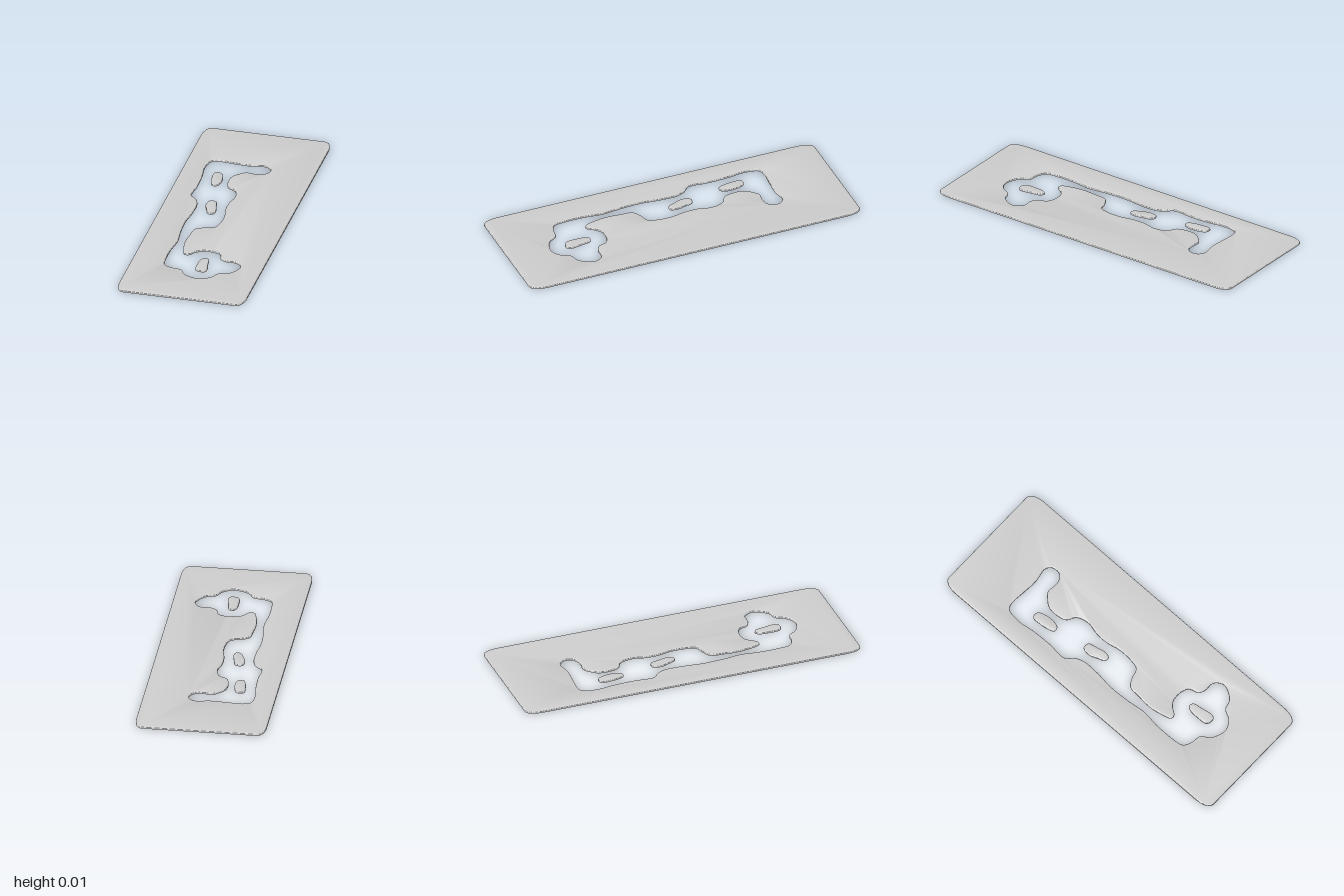
import * as THREE from 'three';
import { toCreasedNormals } from 'three/addons/utils/BufferGeometryUtils.js';

const HEIGHT = 0.012, BEVEL = 0.006, ROUND = 0.008;

// Smooth closed outline through (x, z) pairs; shape y is -z
function outline(pairs, samples) {
  const pts = [];
  for (let i = 0; i < pairs.length; i += 2) pts.push(new THREE.Vector3(pairs[i], -pairs[i + 1], 0));
  const curve = new THREE.CatmullRomCurve3(pts, true, 'centripetal');
  return curve.getSpacedPoints(samples).slice(0, -1).map(p => new THREE.Vector2(p.x, p.y));
}

// Thin slab with a rounded top rim and a flat underside
function slab(shape, name) {
  const geo = new THREE.ExtrudeGeometry(shape, {
    depth: HEIGHT - BEVEL, bevelEnabled: true, bevelThickness: BEVEL, bevelSize: ROUND,
    bevelOffset: -ROUND, bevelSegments: 4, curveSegments: 12,
  });
  geo.rotateX(-Math.PI / 2);
  const pos = geo.attributes.position;
  for (let i = 0; i < pos.count; i++) pos.setY(i, Math.max(0, pos.getY(i)));
  const mesh = new THREE.Mesh(toCreasedNormals(geo, 0.7),
    new THREE.MeshStandardMaterial({ color: 0xcccccc, side: THREE.DoubleSide }));
  mesh.name = name;
  return mesh;
}

// Plate rim with softly rounded corners
function plateShape() {
  const x = 0.368, z = 1, rx = 0.05, rz = 0.09;
  const s = new THREE.Shape();
  s.moveTo(-x + rx, -z);
  s.lineTo(x - rx, -z);
  s.quadraticCurveTo(x - 0.005, -z, x, -z + rz);
  s.lineTo(x, z - rz);
  s.quadraticCurveTo(x - 0.005, z, x - rx, z);
  s.lineTo(-x + rx, z);
  s.quadraticCurveTo(-x + 0.005, z, -x, z - rz);
  s.lineTo(-x, -z + rz);
  s.quadraticCurveTo(-x + 0.005, -z, -x + rx, -z);
  return s;
}

// Irregular cut-out through the plate
const CUTOUT = [
  -0.235, -0.62, -0.2, -0.636, -0.1, -0.63, -0.01, -0.625, 0.08, -0.636, 0.113, -0.604,
  0.109, -0.56, 0.08, -0.535, 0.04, -0.53, -0.01, -0.535, -0.05, -0.503, -0.077, -0.466,
  -0.082, -0.4, -0.066, -0.344, -0.018, -0.313, 0.002, -0.24, -0.014, -0.16, -0.013, -0.08,
  0.002, 0, -0.002, 0.09, -0.018, 0.138, -0.077, 0.159, -0.119, 0.186, -0.13, 0.265,
  -0.135, 0.344, -0.124, 0.424, -0.103, 0.482, -0.077, 0.482, -0.05, 0.445, -0.013, 0.419,
  0.055, 0.419, 0.093, 0.44, 0.109, 0.488, 0.146, 0.51, 0.209, 0.514, 0.241, 0.562,
  0.22, 0.62, 0.188, 0.652, 0.14, 0.668, 0.109, 0.72, 0.055, 0.752, -0.002, 0.742,
  -0.045, 0.715, -0.071, 0.673, -0.13, 0.662, -0.177, 0.636, -0.188, 0.572, -0.188, 0.45,
  -0.177, 0.344, -0.188, 0.238, -0.193, 0.106, -0.182, 0, -0.182, -0.106, -0.203, -0.16,
  -0.24, -0.2, -0.235, -0.318, -0.24, -0.45, -0.25, -0.53,
];

// Loose islands left inside the cut-out
const ISLANDS = {
  backIsland: [-0.183, -0.487, -0.167, -0.498, -0.14, -0.492, -0.124, -0.456, -0.119, -0.387,
    -0.135, -0.35, -0.161, -0.35, -0.177, -0.387, -0.183, -0.435],
  middleIsland: [-0.124, -0.162, -0.087, -0.16, -0.071, -0.106, -0.061, -0.053, -0.071, -0.02,
    -0.098, -0.02, -0.119, -0.064, -0.135, -0.111],
  frontIsland: [0.002, 0.53, 0.019, 0.504, 0.045, 0.514, 0.056, 0.567, 0.066, 0.636,
    0.056, 0.657, 0.019, 0.657, 0.002, 0.641, -0.002, 0.583],
};

export function createModel() {
  const model = new THREE.Group();
  model.name = 'stencilPlate';
  const plate = plateShape();
  plate.holes.push(new THREE.Path(outline(CUTOUT, 260)));
  model.add(slab(plate, 'plate'));
  for (const [name, pairs] of Object.entries(ISLANDS)) {
    model.add(slab(new THREE.Shape(outline(pairs, 36)), name));
  }
  return model;
}
